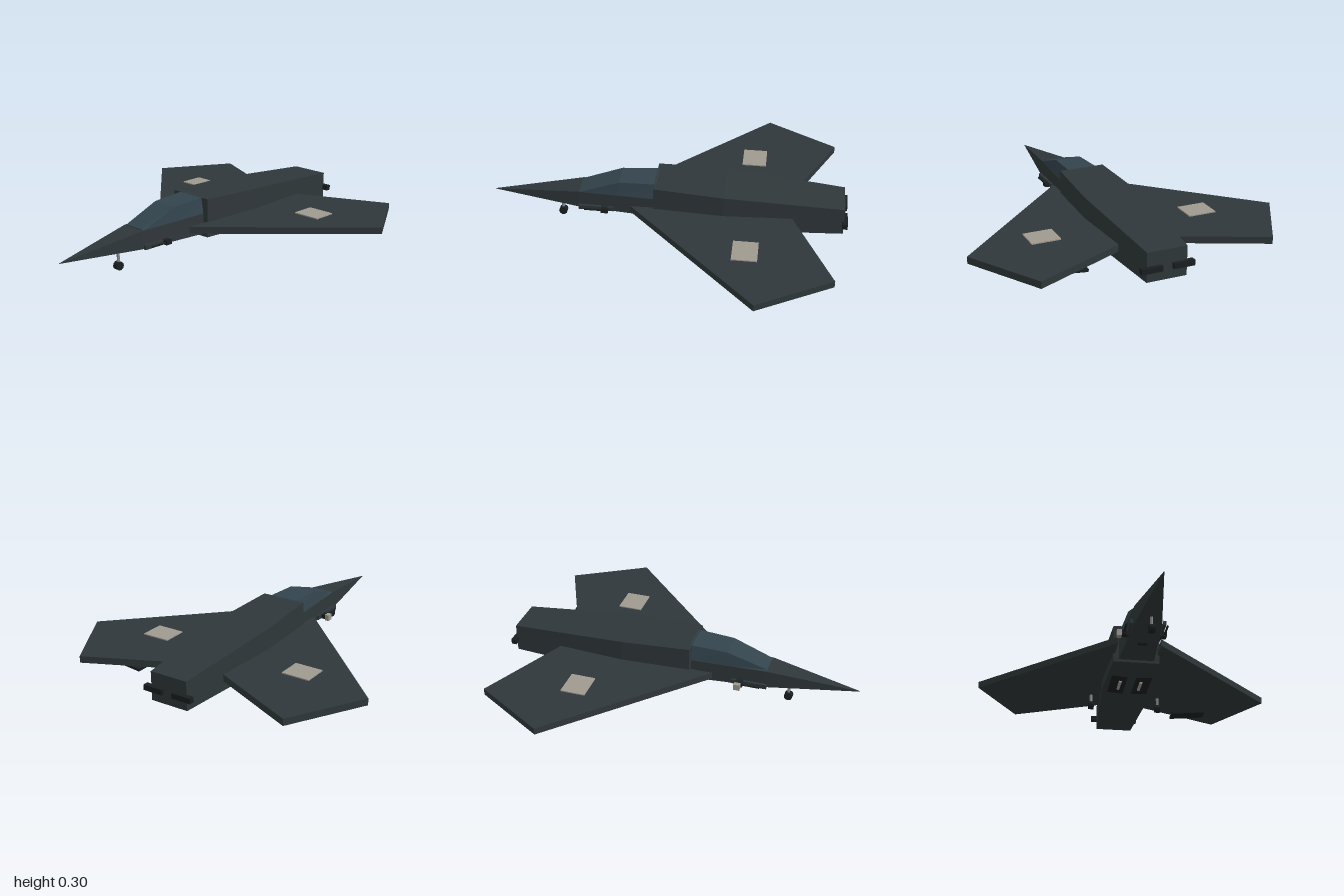
import * as THREE from 'three';

const paint = (color) => new THREE.MeshStandardMaterial({ color, flatShading: true });
const hull = paint(0x2f373a);
const glass = paint(0x33444d);
const dark = paint(0x1b1f21);
const light = paint(0xa09a90);
const metal = paint(0x8a8a8a);

// Four-sided hull lofted through sections [z, half width below, half width above, y below, y above], front to back
function loft(sections) {
  const rings = sections.map(([z, b, t, y0, y1]) => [[-b, y0, z], [b, y0, z], [t, y1, z], [-t, y1, z]]);
  const pos = [];
  const quad = (a, b, c, d) => pos.push(...a, ...b, ...c, ...a, ...c, ...d);
  quad(...rings[0]);
  for (let i = 0; i + 1 < rings.length; i++) {
    const f = rings[i], r = rings[i + 1];
    for (let j = 0; j < 4; j++) {
      const k = (j + 1) % 4;
      quad(f[j], r[j], r[k], f[k]);
    }
  }
  quad(...[...rings[rings.length - 1]].reverse());
  const g = new THREE.BufferGeometry();
  g.setAttribute('position', new THREE.Float32BufferAttribute(pos, 3));
  g.computeVertexNormals();
  return g;
}

export function createModel() {
  const model = new THREE.Group();
  model.name = 'jet';

  function add(name, geometry, material, x = 0, y = 0, z = 0, parent = model) {
    const mesh = new THREE.Mesh(geometry, material);
    mesh.name = name;
    mesh.position.set(x, y, z);
    parent.add(mesh);
    return mesh;
  }
  const box = (name, mat, w, h, d, x, y, z) => add(name, new THREE.BoxGeometry(w, h, d), mat, x, y, z);

  // Hull
  add('fuselage', loft([
    [0.07, 0.13, 0.13, 0.08, 0.30],
    [-0.32, 0.15, 0.15, 0.073, 0.287],
    [-0.98, 0.11, 0.11, 0.08, 0.24],
  ]), hull);
  add('forwardBody', loft([
    [0.5, 0.073, 0.073, 0.105, 0.207],
    [0.06, 0.1, 0.1, 0.095, 0.212],
  ]), hull);
  add('nose', loft([
    [1.0, 0.001, 0.001, 0.136, 0.138],
    [0.5, 0.073, 0.073, 0.105, 0.207],
  ]), hull);
  add('canopy', loft([
    [0.495, 0.07, 0.06, 0.205, 0.212],
    [0.27, 0.086, 0.075, 0.208, 0.29],
    [0.06, 0.1, 0.083, 0.21, 0.30],
  ]), glass);

  for (const s of [1, -1]) {
    const side = s > 0 ? 'left' : 'right';

    // Wing
    const plan = [[0.12, 0.2], [0.87, -0.53], [0.635, -0.93], [0.12, -0.695]];
    const shape = new THREE.Shape(plan.map(([x, z]) => new THREE.Vector2(s * x, z)));
    const wing = new THREE.ExtrudeGeometry(shape, { depth: 0.038, bevelEnabled: false });
    wing.rotateX(Math.PI / 2);
    add(side + 'Wing', wing, hull, 0, 0.169, 0);
    box(side + 'WingPanel', light, 0.16, 0.01, 0.137, s * 0.45, 0.17, -0.46);

    // Tail bar
    box(side + 'TailBar', dark, 0.115, 0.03, 0.03, s * 0.0875, 0.15, -0.985);

    // Cheek rail with gun
    box(side + 'CheekRail', hull, 0.015, 0.025, 0.2, s * 0.088, 0.118, 0.4);
    box(side + 'GunMount', dark, 0.04, 0.025, 0.04, s * 0.1, 0.118, 0.35);
    const barrel = new THREE.CylinderGeometry(0.006, 0.006, 0.11, 8).rotateX(Math.PI / 2);
    add(side + 'GunBarrel', barrel, dark, s * 0.109, 0.118, 0.41);

    // Belly bay door and store
    box(side + 'BayDoor', dark, 0.09, 0.012, 0.24, s * 0.07, 0.072, -0.22).rotation.z = s * 0.08;
    const store = new THREE.CylinderGeometry(0.009, 0.009, 0.11, 8).rotateX(Math.PI / 2);
    add(side + 'BayStore', store, light, s * 0.06, 0.063, -0.215);
  }
  box('sensorBox', light, 0.025, 0.035, 0.035, -0.133, 0.117, 0.345);
  box('chinPlate', dark, 0.05, 0.008, 0.025, 0, 0.087, 0.3);

  // Lowered flap under the left wing
  box('flap', dark, 0.21, 0.014, 0.09, 0.443, 0.123, -0.76).rotation.z = 0.1;

  // Landing gear
  for (const [name, x, z] of [['noseGear', 0, 0.61], ['leftGear', 0.2, -0.45], ['rightGear', -0.2, -0.45]]) {
    const gear = new THREE.Group();
    gear.name = name;
    gear.position.set(x, 0, z);
    model.add(gear);
    add('strut', new THREE.CylinderGeometry(0.008, 0.008, 0.06, 8), metal, 0, 0.06, 0, gear);
    const wheel = new THREE.CylinderGeometry(0.024, 0.024, 0.032, 10).rotateZ(Math.PI / 2);
    add('wheel', wheel, dark, 0, 0.024, 0, gear);
  }
  return model;
}
